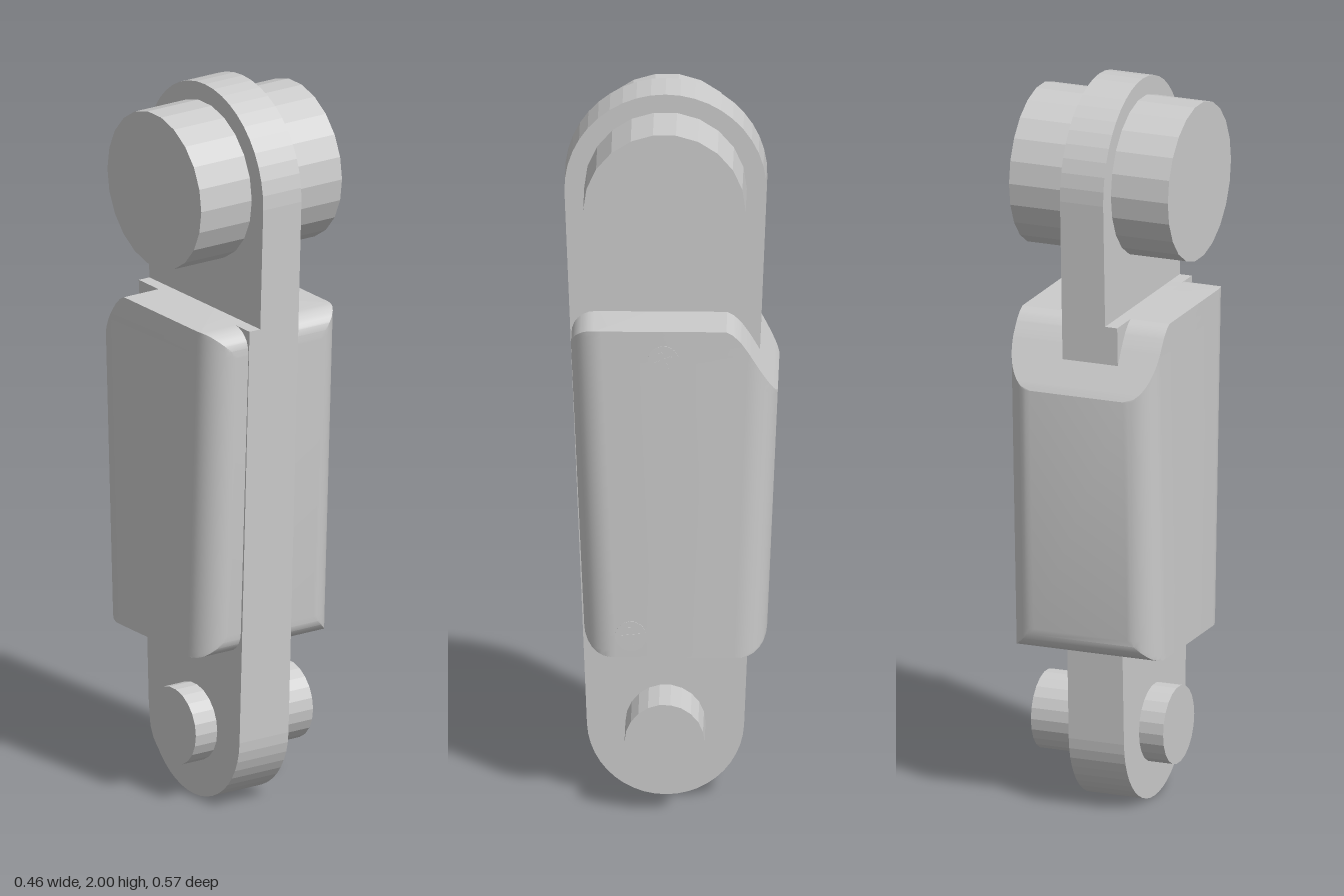
import * as THREE from 'three';
import { toCreasedNormals } from 'three/addons/utils/BufferGeometryUtils.js';

const flat = new THREE.MeshStandardMaterial({ color: 0xcccccc, flatShading: true });
const smooth = new THREE.MeshStandardMaterial({ color: 0xcccccc });
const Z0 = 0.015; // pivot axis depth
const TOP = { y: 1.73, r: 0.27 }, BOTTOM = { y: 0.21, r: 0.21 }, SPLIT = 1.38;
const TILT = Math.asin((TOP.r - BOTTOM.r) / (TOP.y - BOTTOM.y));

function add(parent, name, geometry, material = flat) {
  const mesh = new THREE.Mesh(geometry, material);
  mesh.name = name;
  parent.add(mesh);
  return mesh;
}

// Half of the tapered arm: a rounded end cut off straight at SPLIT
function armGeometry(end, upper, x0, x1) {
  const half = (TOP.r + (SPLIT - TOP.y) * Math.sin(TILT)) / Math.cos(TILT);
  const s = new THREE.Shape();
  if (upper) {
    s.moveTo(Z0 - half, SPLIT).lineTo(Z0 + half, SPLIT);
    s.absarc(Z0, end.y, end.r, -TILT, Math.PI + TILT, false);
  } else {
    s.moveTo(Z0 + half, SPLIT).lineTo(Z0 - half, SPLIT);
    s.absarc(Z0, end.y, end.r, Math.PI + TILT, 2 * Math.PI - TILT, false);
  }
  s.closePath();
  return new THREE.ExtrudeGeometry(s, { depth: x1 - x0, bevelEnabled: false, curveSegments: 11 })
    .rotateY(-Math.PI / 2).translate(x1, 0, 0);
}

function pin(r, x0, x1, y, z, sides = 22) {
  return new THREE.CylinderGeometry(r, r, x1 - x0, sides)
    .rotateZ(Math.PI / 2).translate((x0 + x1) / 2, y, z);
}

// Casing: stacked rounded sections, trimmed by a rounded side profile
function casingGeometry() {
  const y0 = 0.45, y1 = SPLIT, R = 0.065, N = 10;
  const flatX = 0.135, rx = 0.078, rz = 0.083;
  const frontPlane = y => 0.228 + (y - y0) * 0.044;
  const backPlane = y => -0.255 - (y - y0) * 0.042;
  const inset = t => (t > 0 ? R - Math.sqrt(Math.max(0, R * R - t * t)) : 0);
  const lowCut = y => inset(y0 + R - y);
  const frontCut = y => lowCut(y) + inset(y - (y1 - R));
  // sloped shoulder at the upper back
  const shoulder = [[1.19, -0.286], [1.32, -0.21], [1.352, -0.187], [1.37, -0.168], [y1, -0.15]];
  const backCut = y => {
    for (let i = 1; i < shoulder.length; i++) {
      const [ya, za] = shoulder[i - 1], [yb, zb] = shoulder[i];
      if (y > ya && y <= yb + 1e-6) return za + (zb - za) * (y - ya) / (yb - ya) - backPlane(y);
    }
    return lowCut(y);
  };

  const levels = [1.352, 1.37];
  for (let i = 0; i <= 6; i++) {
    const h = R * (1 - Math.cos(i / 6 * Math.PI / 2));
    levels.push(y0 + h, y1 - h);
  }
  for (let i = 0; i <= 12; i++) levels.push(1.19 + 0.12 * i / 12);
  levels.sort((a, b) => a - b);

  const rings = levels.map(y => {
    const corner = (sx, front) => Array.from({ length: N + 1 }, (_, i) => {
      const arc = rz * (1 - Math.cos(i / N * Math.PI / 2));
      const d = Math.max(arc, front ? frontCut(y) : backCut(y));
      const k = 1 - Math.min(1, d / rz);
      const x = flatX + rx * Math.sqrt(1 - k * k);
      return new THREE.Vector3(sx * x, y, front ? frontPlane(y) - d : backPlane(y) + d);
    });
    return [...corner(1, true), ...corner(1, false).reverse(),
      ...corner(-1, false), ...corner(-1, true).reverse()];
  });

  const pos = [];
  const tri = (a, b, c) => {
    const area = b.clone().sub(a).cross(c.clone().sub(a)).length();
    if (area > 1e-9) for (const p of [a, b, c]) pos.push(p.x, p.y, p.z);
  };
  const n = rings[0].length, last = rings[rings.length - 1];
  const low = new THREE.Vector3(0, y0, 0), high = new THREE.Vector3(0, y1, 0);
  for (let j = 0; j < n; j++) {
    const k = (j + 1) % n;
    for (let i = 0; i + 1 < rings.length; i++) {
      const a = rings[i], b = rings[i + 1];
      tri(a[j], a[k], b[k]);
      tri(a[j], b[k], b[j]);
    }
    tri(low, rings[0][k], rings[0][j]);
    tri(high, last[j], last[k]);
  }
  const g = new THREE.BufferGeometry();
  g.setAttribute('position', new THREE.Float32BufferAttribute(pos, 3));
  return toCreasedNormals(g, 0.45);
}

// Screw head with a cross on the casing side
function screw(y, z, turn) {
  const g = new THREE.Group();
  g.name = 'screw';
  add(g, 'screwHead', pin(0.042, 0.2, 0.2145, 0, 0, 20));
  for (const a of [0, Math.PI / 2]) {
    add(g, 'screwCross', new THREE.BoxGeometry(0.003, 0.05, 0.011).rotateX(a).translate(0.2145, 0, 0));
  }
  g.position.set(0, y, z);
  g.rotation.x = turn;
  return g;
}

export function createModel() {
  const model = new THREE.Group();
  model.name = 'linkArm';

  add(model, 'upperArm', armGeometry(TOP, true, -0.065, 0.06));
  add(model, 'lowerArm', armGeometry(BOTTOM, false, -0.1, 0.06));
  add(model, 'upperPin', pin(0.217, -0.23, 0.23, 1.733, Z0));
  add(model, 'lowerPin', pin(0.107, -0.17, 0.213, 0.207, Z0));
  add(model, 'casing', casingGeometry(), smooth);
  model.add(screw(1.297, 0.018, 0.4), screw(0.51, 0.105, 0.1));

  return model;
}
